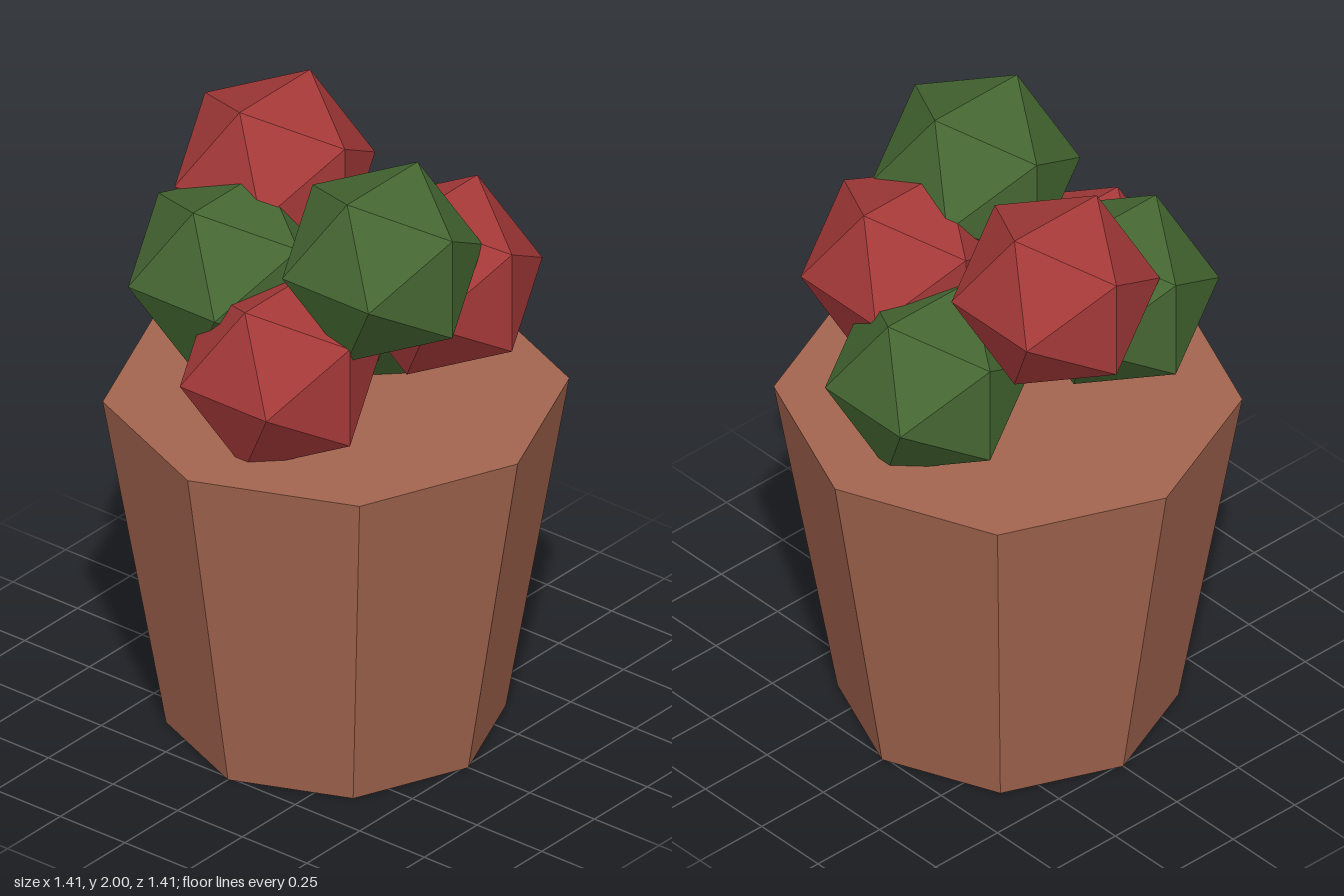
import * as THREE from 'three';

const flat = (name, color) => {
  const m = new THREE.MeshStandardMaterial({ color });
  m.name = name;
  return m;
};

export function createModel() {
  const model = new THREE.Group();
  model.name = 'pottedPlant';

  const clay = flat('clay', 0xa3654f);
  const red = flat('red', 0xa53939);
  const green = flat('green', 0x456732);

  const add = (name, geometry, material, x, y, z) => {
    // separate the faces so every facet has its own flat normal
    const g = geometry.index ? geometry.toNonIndexed() : geometry;
    g.computeVertexNormals();
    const mesh = new THREE.Mesh(g, material);
    mesh.name = name;
    mesh.position.set(x, y, z);
    model.add(mesh);
  };

  // Eight-sided tapered pot, closed at both ends
  const potHeight = 1.12;
  add('pot', new THREE.CylinderGeometry(0.703, 0.512, potHeight, 8), clay, 0, potHeight / 2, 0);

  // Faceted blooms and leaf clumps climbing in a spiral, alternating in colour
  const ball = new THREE.IcosahedronGeometry(0.318, 0);
  const spiral = [
    [0.32, 1.35, 0],
    [-0.32, 1.35, 0.045],
    [-0.21, 1.54, -0.245],
    [0.172, 1.54, 0.27],
    [-0.135, 1.73, 0.29],
    [0.09, 1.73, -0.31],
  ];
  const colours = [green, red, green, red, green, red];
  spiral.forEach(([x, y, z], i) => {
    const name = (colours[i] === red ? 'bloom' : 'leafClump') + (Math.floor(i / 2) + 1);
    add(name, ball, colours[i], x, y, z);
  });

  return model;
}
